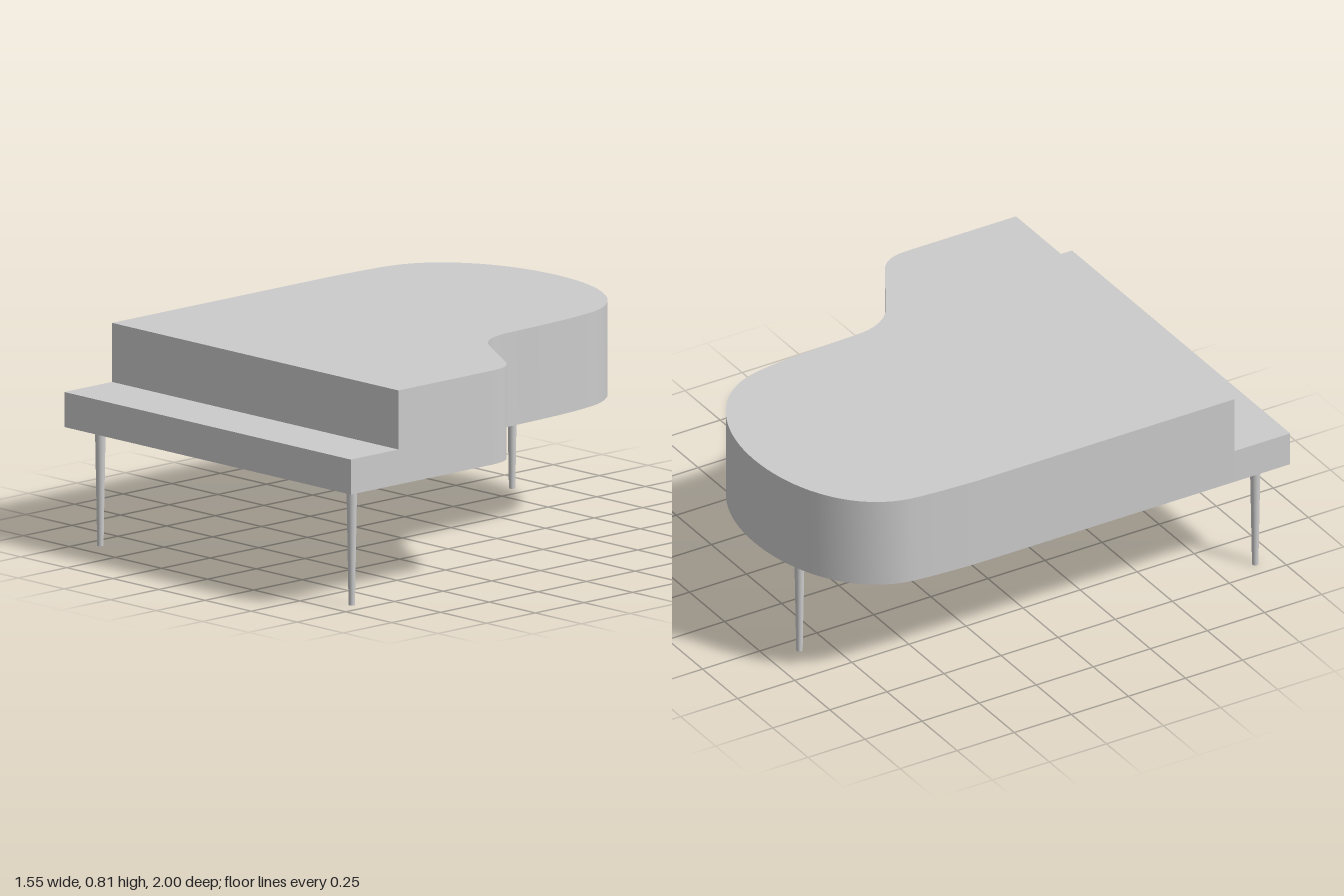
import * as THREE from 'three';
import { toCreasedNormals } from 'three/addons/utils/BufferGeometryUtils.js';

const HALF = 0.777;    // half width of the keyboard end
const BASE = 0.453;    // underside of the body
const SHELF = 0.587;   // top of the key shelf
const TOP = 0.813;     // top of the lid
const STEP = 0.755;    // z where the shelf meets the case

// Curved plan of the case, drawn with shape y = -z
function casePlan() {
  const s = new THREE.Shape();
  s.moveTo(-HALF, -STEP);
  s.lineTo(HALF, -STEP);
  s.lineTo(HALF, -0.28);
  s.bezierCurveTo(HALF, -0.2, 0.75, -0.163, 0.7, -0.133); // treble corner
  s.lineTo(0.47, 0.005);
  s.bezierCurveTo(0.4, 0.045, 0.365, 0.11, 0.36, 0.19);   // waist
  s.bezierCurveTo(0.35, 0.42, 0.352, 0.52, 0.325, 0.66);
  s.bezierCurveTo(0.29, 0.86, 0.06, 1, -0.21, 1);         // rounded tail
  s.bezierCurveTo(-0.48, 1, -0.72, 0.87, -0.757, 0.65);
  s.quadraticCurveTo(-0.77, 0.56, -HALF, 0.37);
  s.closePath();
  return s;
}

export function createModel() {
  const model = new THREE.Group();
  model.name = 'grandPiano';
  const material = new THREE.MeshStandardMaterial({ color: 0xcccccc });

  const add = (name, geometry, x, y, z) => {
    const mesh = new THREE.Mesh(geometry, material);
    mesh.name = name;
    mesh.position.set(x, y, z);
    model.add(mesh);
  };

  // Case with smooth curved walls and crisp rims
  const body = new THREE.ExtrudeGeometry(casePlan(), {
    depth: TOP - BASE, bevelEnabled: false, curveSegments: 20,
  });
  body.rotateX(-Math.PI / 2);
  add('case', toCreasedNormals(body, Math.PI / 6), 0, BASE, 0);

  // Key shelf across the front
  add('keyShelf', new THREE.BoxGeometry(HALF * 2, SHELF - BASE, 1 - STEP),
    0, (BASE + SHELF) / 2, (1 + STEP) / 2);

  // Three tapered legs
  const leg = new THREE.CylinderGeometry(0.02, 0.012, BASE, 24);
  add('frontLeftLeg', leg, 0.682, BASE / 2, 0.905);
  add('frontRightLeg', leg, -0.682, BASE / 2, 0.905);
  add('backLeg', leg, -0.322, BASE / 2, -0.87);

  return model;
}
